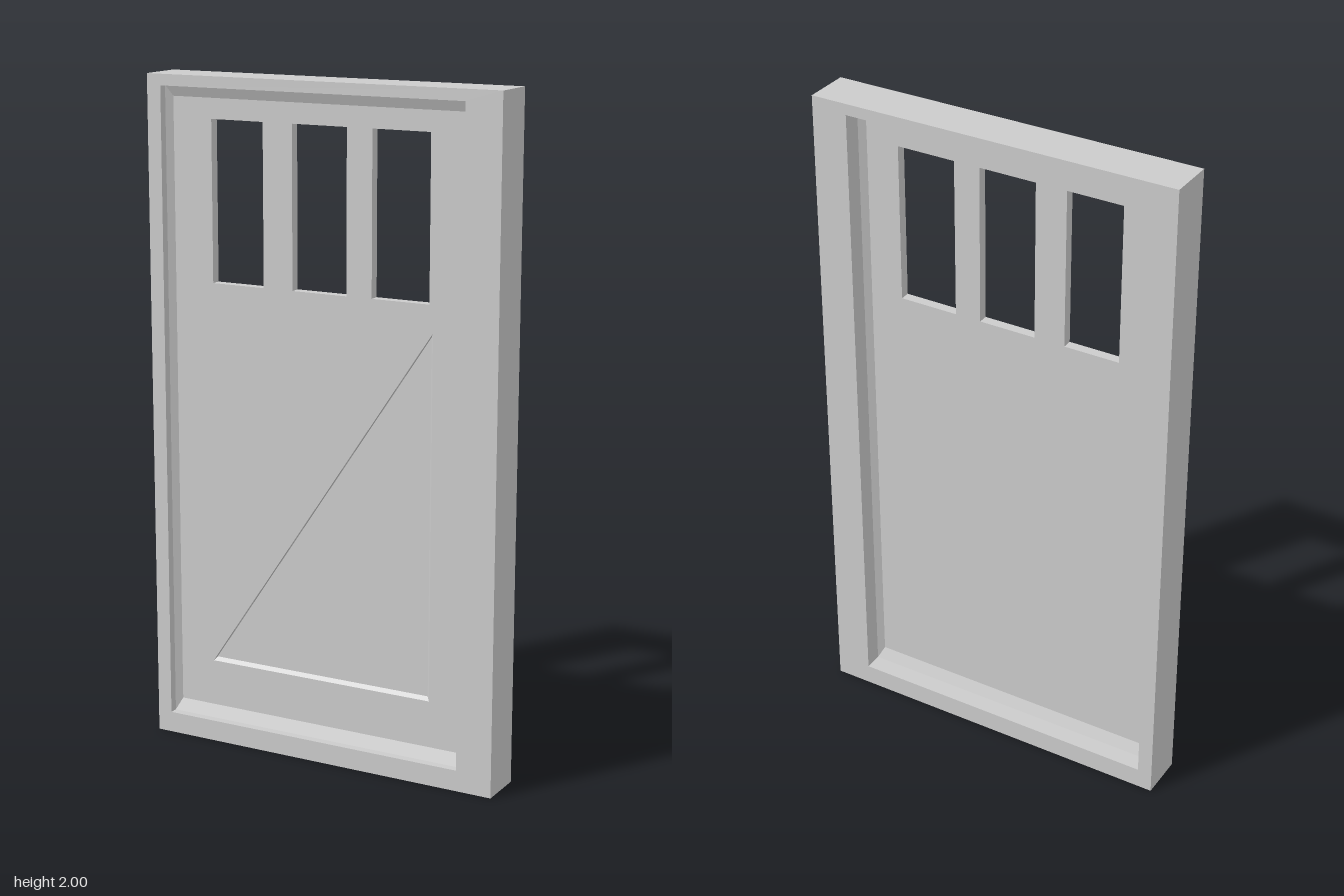
import * as THREE from 'three';

const material = new THREE.MeshStandardMaterial({ color: 0xcccccc, flatShading: true });

const rect = (x0, x1, y0, y1) => [[x0, y0], [x1, y0], [x1, y1], [x0, y1]];
const points = (loop) => loop.map(([x, y]) => new THREE.Vector2(x, y));

// Flat slab between two depths, with optional holes
function slab(outline, holes, zBack, zFront) {
  const shape = new THREE.Shape(points(outline));
  holes.forEach((h) => shape.holes.push(new THREE.Path(points(h))));
  const geometry = new THREE.ExtrudeGeometry(shape, { depth: zFront - zBack, bevelEnabled: false });
  return geometry.translate(0, 0, zBack);
}

// Sloping band from an outer loop down to an inner loop
function slope(outer, inner, zOuter, zInner) {
  const v = [];
  const facesFront = zOuter > zInner;
  outer.forEach((a, i) => {
    const j = (i + 1) % outer.length;
    const a0 = [...a, zOuter], a1 = [...outer[j], zOuter];
    const b0 = [...inner[i], zInner], b1 = [...inner[j], zInner];
    const quad = facesFront ? [a0, a1, b1, a0, b1, b0] : [a0, b1, a1, a0, b0, b1];
    v.push(...quad.flat());
  });
  const geometry = new THREE.BufferGeometry();
  geometry.setAttribute('position', new THREE.Float32BufferAttribute(v, 3));
  geometry.computeVertexNormals();
  return geometry;
}

export function createModel() {
  const group = new THREE.Group();
  const add = (name, geometry) => {
    const mesh = new THREE.Mesh(geometry, material);
    mesh.name = name;
    group.add(mesh);
  };

  const opening = rect(-0.515, 0.45, 0.063, 1.967);
  const panel = rect(-0.497, 0.432, 0.1, 1.935);
  const windows = [[-0.37, -0.2], [-0.105, 0.07], [0.15, 0.33]]
    .map(([x0, x1]) => rect(x0, x1, 1.4, 1.875));
  const triangle = [[-0.385, 0.24], [0.342, 0.24], [0.342, 1.32]];
  const triangleFloor = [[-0.378, 0.25], [0.332, 0.25], [0.332, 1.305]];
  const front = 0.03, floor = 0.018, back = 0;

  // Outer frame, with the opening off centre
  add('frame', slab(rect(-0.56, 0.56, 0, 2), [opening], -0.07, 0.07));

  // Sloped mouldings around the panel
  add('frontMoulding', slope(opening, panel, 0.045, front));
  add('backMoulding', slope(opening, panel, -0.015, back));

  // Door panel in two layers; the front one is cut for the triangular recess
  add('panelBack', slab(panel, windows, back, floor));
  add('panelFront', slab(panel, [...windows, triangle], floor, front));
  add('triangleRecessEdge', slope(triangle, triangleFloor, front, floor));

  return group;
}
